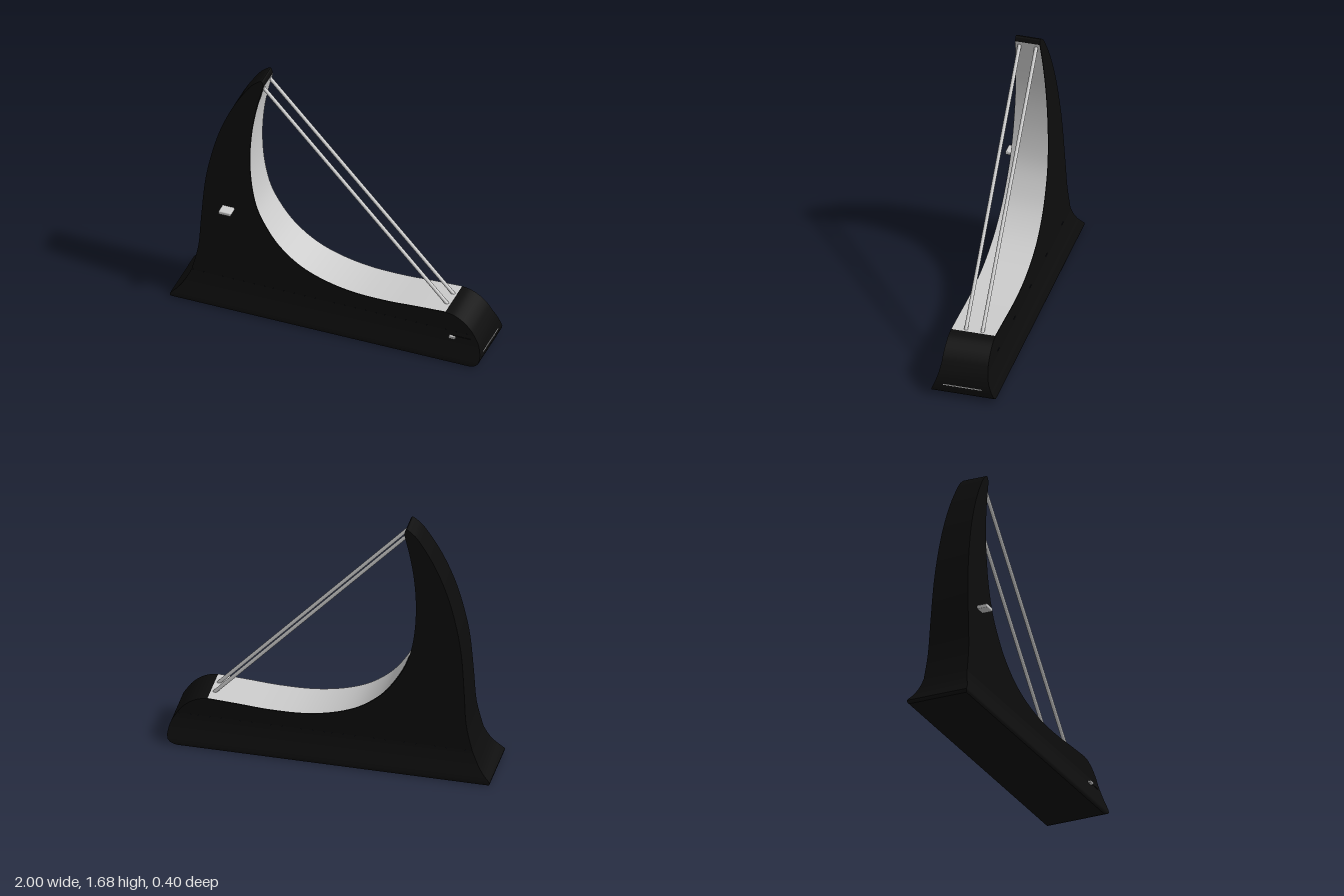
import * as THREE from 'three';
import { toCreasedNormals } from 'three/addons/utils/BufferGeometryUtils.js';
import { RoundedBoxGeometry } from 'three/addons/geometries/RoundedBoxGeometry.js';

const black = new THREE.MeshStandardMaterial({ color: 0x0c0c0c });
black.name = 'black shell';
const silver = new THREE.MeshStandardMaterial({ color: 0xcccccc });
silver.name = 'silver';

// Half depth of the tapering upper body at a given height
const halfDepth = (y) => 0.154 - 0.046 * y;

const spline = (pts, n) =>
  new THREE.SplineCurve(pts.map(([x, y]) => new THREE.Vector2(x, y))).getPoints(n);

function indexed(positions, index) {
  const g = new THREE.BufferGeometry();
  g.setAttribute('position', new THREE.Float32BufferAttribute(positions, 3));
  g.setIndex(index);
  return g;
}

// Side outline: back edge, concave inner edge, rounded nose
const outer = spline([[-0.88, 0.2], [-0.84, 0.38], [-0.826, 0.59], [-0.805, 0.86], [-0.767, 1.07],
  [-0.714, 1.26], [-0.634, 1.45], [-0.537, 1.61], [-0.484, 1.665], [-0.455, 1.68], [-0.443, 1.65]], 50);
const inner = spline([[-0.443, 1.65], [-0.452, 1.61], [-0.484, 1.476], [-0.51, 1.315], [-0.521, 1.13],
  [-0.51, 0.94], [-0.473, 0.765], [-0.404, 0.626], [-0.313, 0.508], [-0.18, 0.406], [-0.02, 0.342],
  [0.168, 0.307], [0.38, 0.302], [0.57, 0.313], [0.76, 0.323]], 70);
const nose = spline([[0.76, 0.323], [0.815, 0.314], [0.874, 0.283], [0.92, 0.24], [0.948, 0.2]], 16);

// Upper body: extruded outline with its depth narrowed towards the tip
function upperBody() {
  const shape = new THREE.Shape([...outer, ...inner.slice(1), ...nose.slice(1)]);
  const g = new THREE.ExtrudeGeometry(shape, { depth: 2, bevelEnabled: false });
  g.translate(0, 0, -1);
  const p = g.attributes.position;
  for (let i = 0; i < p.count; i++) p.setZ(i, p.getZ(i) * halfDepth(p.getY(i)));
  return toCreasedNormals(g, 0.6);
}

// Flared base: rectangles stacked by height as [y, left x, right x, half depth]
function flaredBase() {
  const rows = [[0, -0.99, 0.93, 0.192], [0.008, -0.998, 0.955, 0.198], [0.02, -1, 0.978, 0.199],
    [0.035, -0.988, 0.992, 0.195], [0.06, -0.962, 0.999, 0.186], [0.09, -0.937, 0.996, 0.174],
    [0.12, -0.918, 0.989, 0.163], [0.155, -0.9, 0.976, 0.153], [0.2, -0.88, 0.948, 0.145]];
  const pos = [], idx = [0, 3, 2, 0, 2, 1];
  rows.forEach(([y, l, r, w], i) => {
    pos.push(l, y, w, r, y, w, r, y, -w, l, y, -w);
    if (i === rows.length - 1) return;
    for (let k = 0; k < 4; k++) {
      const a = i * 4 + k, b = i * 4 + (k + 1) % 4;
      idx.push(a, b, b + 4, a, b + 4, a + 4);
    }
  });
  return toCreasedNormals(indexed(pos, idx), 0.7);
}

// Silver lining laid just above the concave inner edge
function lining() {
  const pos = [], idx = [];
  inner.forEach((p, i) => {
    const t = inner[Math.min(i + 1, inner.length - 1)].clone()
      .sub(inner[Math.max(i - 1, 0)]).normalize();
    const x = p.x - t.y * 0.004, y = p.y + t.x * 0.004, w = halfDepth(p.y) - 0.002;
    pos.push(x, y, w, x, y, -w);
    const a = i * 2;
    if (i < inner.length - 1) idx.push(a, a + 2, a + 3, a, a + 3, a + 1);
  });
  const g = indexed(pos, idx);
  g.computeVertexNormals();
  return g;
}

export function createModel() {
  const model = new THREE.Group();
  model.name = 'curvedStand';
  const add = (name, geometry, material, x = 0, y = 0, z = 0) => {
    const m = new THREE.Mesh(geometry, material);
    m.name = name;
    m.position.set(x, y, z);
    model.add(m);
    return m;
  };

  add('upperBody', upperBody(), black);
  add('flaredBase', flaredBase(), black);
  add('innerLining', lining(), silver);

  // Two slanted rods from tip to nose
  const top = new THREE.Vector2(-0.455, 1.625), foot = new THREE.Vector2(0.74, 0.318);
  const dir = top.clone().sub(foot);
  for (const side of [1, -1]) {
    const rod = add(side > 0 ? 'frontRod' : 'backRod',
      new THREE.CylinderGeometry(0.0115, 0.0115, dir.length(), 16), silver,
      (top.x + foot.x) / 2, (top.y + foot.y) / 2, side * 0.052);
    rod.rotation.z = Math.atan2(dir.y, dir.x) - Math.PI / 2;
  }

  // Controls on the front face and the slit across the nose
  add('sideKnob', new RoundedBoxGeometry(0.078, 0.024, 0.075, 3, 0.006), silver, -0.652, 0.706, 0.15);
  add('slider', new RoundedBoxGeometry(0.04, 0.016, 0.03, 2, 0.004), silver, 0.81, 0.163, 0.154);
  add('sliderSlot', new THREE.BoxGeometry(0.12, 0.006, 0.008), black, 0.87, 0.17, 0.149);
  add('noseSlit', new THREE.BoxGeometry(0.008, 0.006, 0.24), silver, 0.995, 0.083, 0);
  return model;
}
